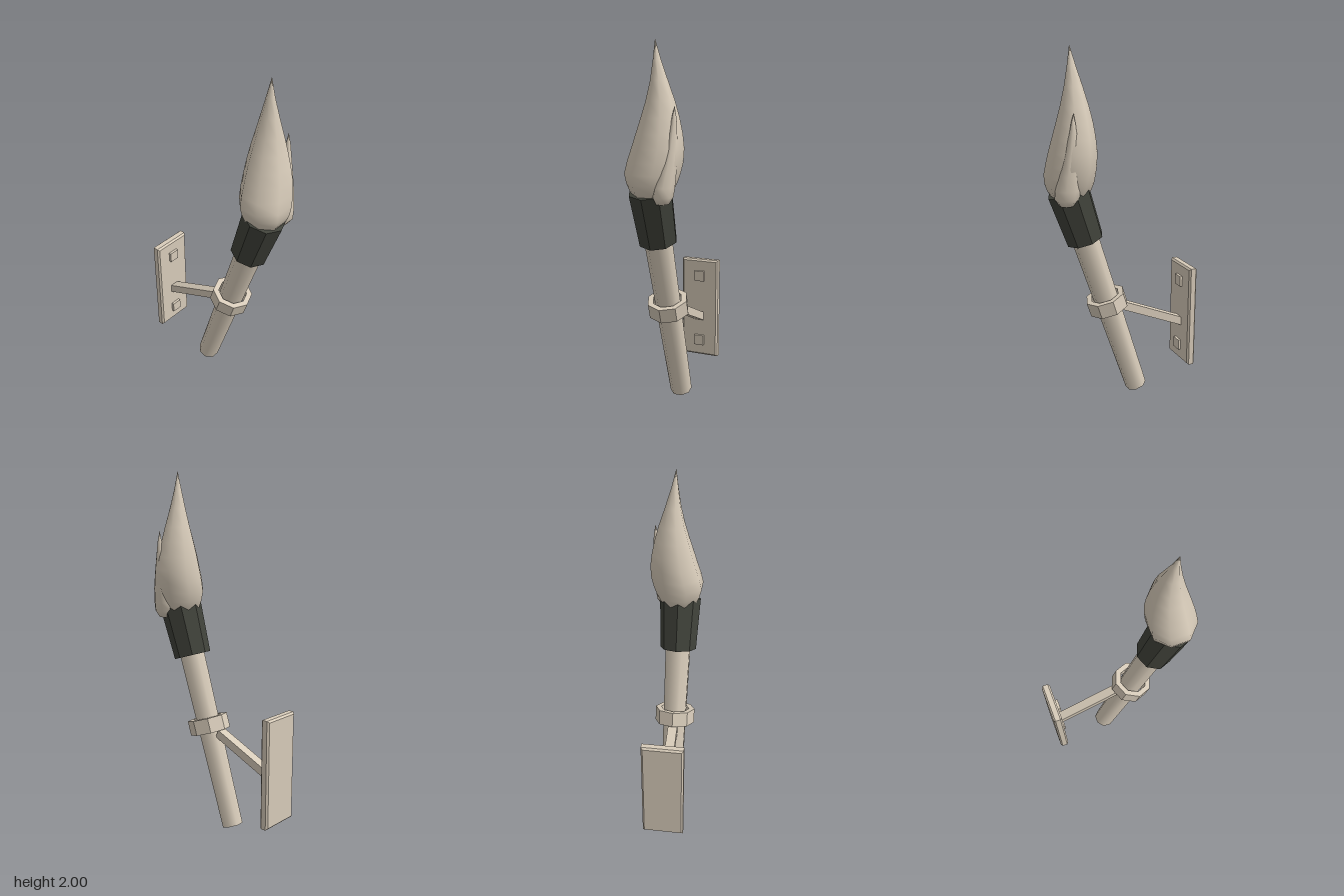
import * as THREE from 'three';

const SIDES = 8;

// Give a geometry one flat normal per face
function faceted(geometry) {
  const g = geometry.index ? geometry.toNonIndexed() : geometry;
  g.computeVertexNormals();
  return g;
}

// Smooth octagonal loft; each section is [y, xMin, xMax, zMin, zMax]
function loft(sections) {
  const positions = [];
  const index = [];
  const corner = Math.cos(Math.PI / SIDES);
  for (const [y, x0, x1, z0, z1] of sections) {
    for (let j = 0; j < SIDES; j++) {
      const a = ((j + 0.5) / SIDES) * Math.PI * 2;
      positions.push(
        (x0 + x1) / 2 + ((x1 - x0) / 2 / corner) * Math.sin(a),
        y,
        (z0 + z1) / 2 + ((z1 - z0) / 2 / corner) * Math.cos(a)
      );
    }
  }
  for (let i = 0; i < sections.length - 1; i++) {
    for (let j = 0; j < SIDES; j++) {
      const a = i * SIDES + j;
      const b = i * SIDES + ((j + 1) % SIDES);
      index.push(a, b, a + SIDES, b, b + SIDES, a + SIDES);
    }
  }
  const g = new THREE.BufferGeometry();
  g.setAttribute('position', new THREE.Float32BufferAttribute(positions, 3));
  g.setIndex(index);
  g.computeVertexNormals();
  return g;
}

// Block with chamfered front and back edges, centred on the origin
function chamferedBlock(w, h, d, c) {
  const x = w / 2 - c;
  const y = h / 2 - c;
  const shape = new THREE.Shape([
    new THREE.Vector2(-x, -y), new THREE.Vector2(x, -y),
    new THREE.Vector2(x, y), new THREE.Vector2(-x, y),
  ]);
  const g = new THREE.ExtrudeGeometry(shape, {
    depth: d - 2 * c, bevelEnabled: true, bevelThickness: c, bevelSize: c, bevelSegments: 1,
  });
  return faceted(g.translate(0, 0, c - d / 2));
}

export function createModel() {
  const model = new THREE.Group();
  model.name = 'wallTorch';
  const tan = new THREE.MeshStandardMaterial({ color: 0xd8ccba });
  tan.name = 'warm tan';
  const charcoal = new THREE.MeshStandardMaterial({ color: 0x40423a });
  charcoal.name = 'charcoal';

  const add = (parent, name, geometry, material, x = 0, y = 0, z = 0) => {
    const mesh = new THREE.Mesh(geometry, material);
    mesh.name = name;
    mesh.position.set(x, y, z);
    parent.add(mesh);
    return mesh;
  };
  const cx = -0.02;

  // Leaning shaft with its charred head and holding ring
  const torch = new THREE.Group();
  torch.name = 'torch';
  torch.position.set(cx, 0.019, -0.092);
  torch.rotation.x = THREE.MathUtils.degToRad(18);
  model.add(torch);

  const shaft = new THREE.CylinderGeometry(0.076, 0.062, 1.1, SIDES, 1, false, Math.PI / SIDES);
  add(torch, 'shaft', shaft, tan, 0, 0.55, 0);
  const head = faceted(new THREE.CylinderGeometry(0.117, 0.104, 0.296, SIDES));
  add(torch, 'charredHead', head, charcoal, 0, 1.152, 0);
  const ringProfile = [[0.083, -0.042], [0.115, -0.042], [0.115, 0.042], [0.083, 0.042], [0.083, -0.042]]
    .map(([r, y]) => new THREE.Vector2(r, y));
  add(torch, 'holdingRing', faceted(new THREE.LatheGeometry(ringProfile, SIDES)), tan, 0, 0.595, 0);

  // Main flame, rising straight up from the head
  add(model, 'flame', loft([
    [1.19, -0.025, -0.015, 0.29, 0.3],
    [1.2, -0.085, 0.055, 0.225, 0.38],
    [1.25, -0.117, 0.085, 0.2, 0.412],
    [1.29, -0.133, 0.105, 0.186, 0.425],
    [1.34, -0.145, 0.122, 0.178, 0.428],
    [1.4, -0.132, 0.136, 0.175, 0.42],
    [1.47, -0.11, 0.14, 0.177, 0.408],
    [1.54, -0.09, 0.132, 0.184, 0.391],
    [1.62, -0.066, 0.116, 0.197, 0.371],
    [1.7, -0.043, 0.095, 0.215, 0.351],
    [1.8, -0.021, 0.062, 0.241, 0.329],
    [1.9, -0.007, 0.031, 0.269, 0.311],
    [2.0, 0.005, 0.006, 0.296, 0.297],
  ]), tan);

  // Small side flame, partly sunk into the main one
  add(model, 'sideFlame', loft([
    [1.188, 0.06, 0.066, 0.348, 0.354],
    [1.195, 0.03, 0.096, 0.315, 0.385],
    [1.23, 0.016, 0.115, 0.287, 0.41],
    [1.28, 0.025, 0.122, 0.285, 0.408],
    [1.36, 0.053, 0.131, 0.293, 0.393],
    [1.45, 0.078, 0.135, 0.302, 0.372],
    [1.58, 0.103, 0.134, 0.311, 0.346],
    [1.63, 0.111, 0.13, 0.317, 0.338],
    [1.68, 0.121, 0.122, 0.325, 0.326],
  ]), tan);

  // Wall plate with two square bolts
  add(model, 'wallPlate', chamferedBlock(0.23, 0.61, 0.05, 0.01), tan, cx, 0.435, -0.405);
  for (const y of [0.228, 0.638]) {
    add(model, 'bolt', new THREE.BoxGeometry(0.06, 0.062, 0.03), tan, cx, y, -0.38);
  }

  // Sloping arm from the plate up to the ring
  const from = new THREE.Vector2(-0.395, 0.376);
  const to = new THREE.Vector2(0.005, 0.553);
  const slope = to.clone().sub(from);
  const arm = add(model, 'arm', new THREE.BoxGeometry(0.054, 0.047, slope.length()), tan,
    cx, (from.y + to.y) / 2, (from.x + to.x) / 2);
  arm.rotation.x = -Math.atan2(slope.y, slope.x);

  return model;
}
